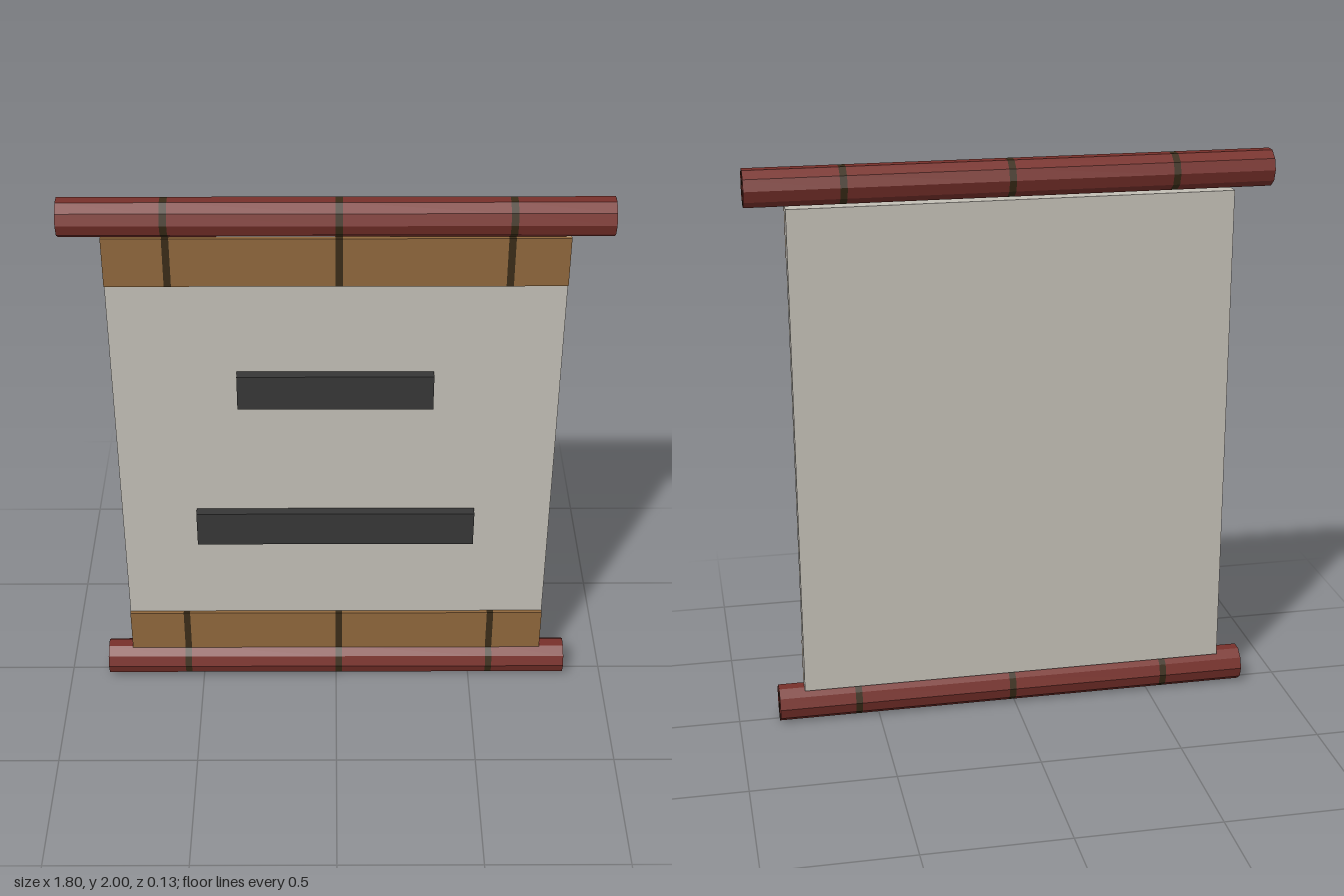
import * as THREE from 'three';

const material = (name, color) => {
  const m = new THREE.MeshStandardMaterial({ color, flatShading: true });
  m.name = name;
  return m;
};

export function createModel() {
  const redWood = material('red wood', 0x77302a);
  const tanWood = material('tan wood', 0x8f673c);
  const grain = material('dark grain', 0x3a2c18);
  const paper = material('paper', 0xc2beb5);
  const ink = material('ink', 0x363636);

  const model = new THREE.Group();
  model.name = 'hangingScroll';

  const add = (parent, name, geometry, mat, x, y, z) => {
    const mesh = new THREE.Mesh(geometry, mat);
    mesh.name = name;
    mesh.position.set(x, y, z);
    parent.add(mesh);
    return mesh;
  };

  // Box given by its limits
  const box = (parent, name, mat, x0, x1, y0, y1, z0, z1) =>
    add(parent, name, new THREE.BoxGeometry(x1 - x0, y1 - y0, z1 - z0), mat,
      (x0 + x1) / 2, (y0 + y1) / 2, (z0 + z1) / 2);

  // Splits a length at the three dark grain lines
  const grainLines = [-0.555, 0.01, 0.573];
  const segments = (half, build) => {
    const cuts = [-half, ...grainLines.flatMap(x => [x - 0.012, x + 0.012]), half];
    for (let i = 0; i < cuts.length - 1; i++) build(cuts[i], cuts[i + 1], i % 2 === 1);
  };

  // Ten-sided roller with grain rings and a grain line on each end
  const R = 0.065;
  const roller = (name, half, y) => {
    const group = new THREE.Group();
    group.name = name;
    group.position.y = y;
    model.add(group);
    segments(half, (x0, x1, dark) => {
      const geometry = new THREE.CylinderGeometry(R, R, x1 - x0, 10, 1, true).rotateZ(Math.PI / 2);
      add(group, dark ? 'grainRing' : 'rollerWood', geometry, dark ? grain : redWood, (x0 + x1) / 2, 0, 0);
    });
    for (const side of [-1, 1]) {
      const cap = add(group, 'rollerEnd', new THREE.CircleGeometry(R, 10), redWood, side * half, 0, 0);
      cap.rotation.y = side * Math.PI / 2;
      add(group, 'endGrain', new THREE.BoxGeometry(0.002, 0.118, 0.025), grain, side * half, 0, -0.0135);
    }
  };
  roller('topRoller', 0.9, 1.938);
  roller('bottomRoller', 0.856, 0.063);

  // Sheet
  const W = 0.765;
  box(model, 'sheet', paper, -W, W, 0.12, 1.87, -0.042, 0.01);

  // Wooden bands on the front of the sheet
  const band = (name, y0, y1) => {
    const group = new THREE.Group();
    group.name = name;
    model.add(group);
    segments(W, (x0, x1, dark) =>
      box(group, dark ? 'bandGrain' : 'bandWood', dark ? grain : tanWood, x0, x1, y0, y1, 0.01, 0.024));
  };
  band('topBand', 1.692, 1.87);
  band('bottomBand', 0.12, 0.29);

  // Raised ink bars
  box(model, 'upperBar', ink, -0.338, 0.333, 1.218, 1.35, 0.005, 0.045);
  box(model, 'lowerBar', ink, -0.498, 0.493, 0.632, 0.768, 0.005, 0.045);

  return model;
}
